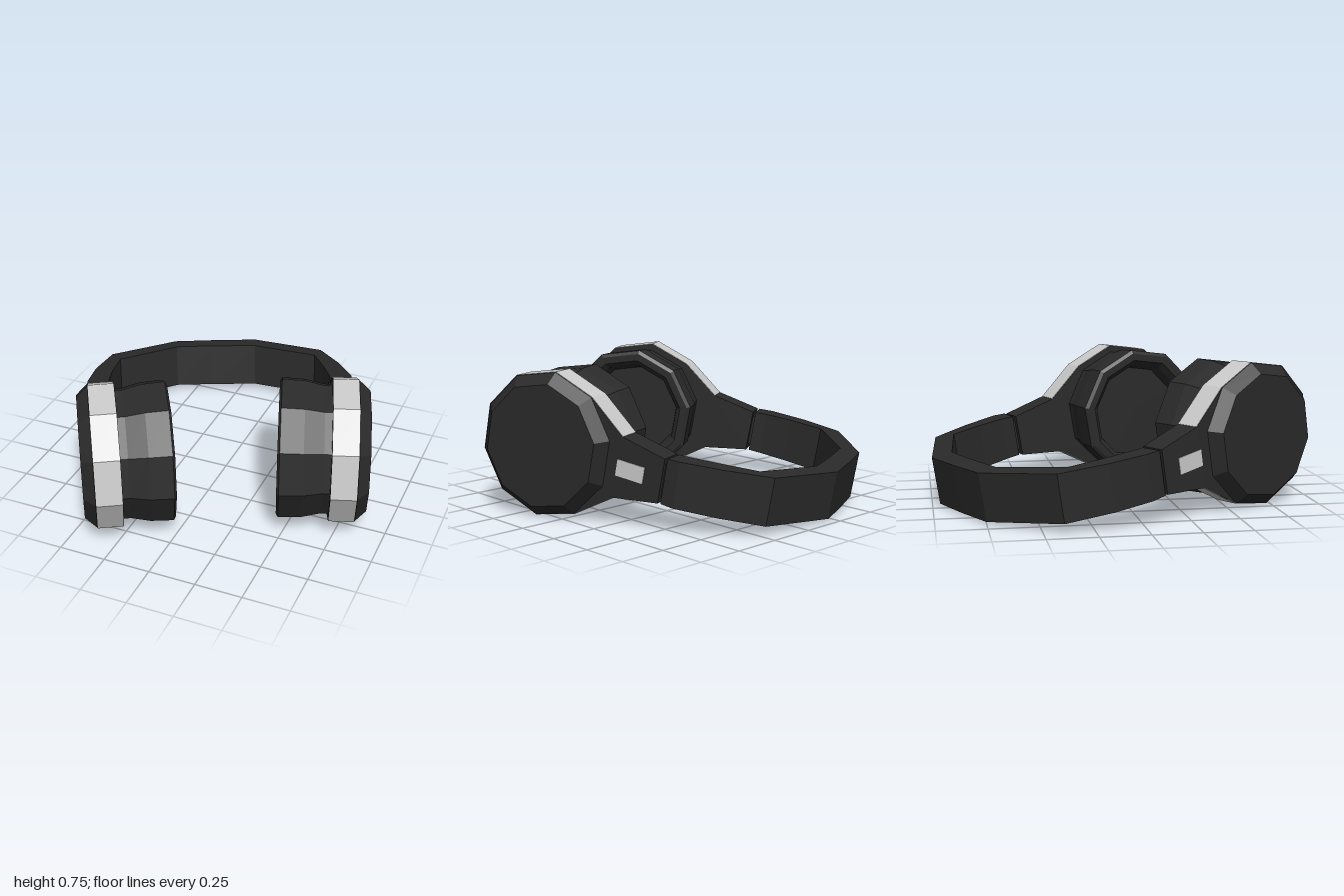
import * as THREE from 'three';

const dark = new THREE.MeshStandardMaterial({ color: 0x2a2a2a, flatShading: true });
const grey = new THREE.MeshStandardMaterial({ color: 0xcccccc, flatShading: true });

function add(parent, name, geometry, material) {
  const mesh = new THREE.Mesh(geometry, material);
  mesh.name = name;
  parent.add(mesh);
  return mesh;
}

// Cup space: x = outward from the ear, z = away from the headband, y = across.
// Extrudes a (z, y) outline from x = from to x = to.
function plate(points, from, to, scale = 1) {
  const shape = new THREE.Shape(points.map(([z, y]) => new THREE.Vector2(-z * scale, y * scale)));
  return new THREE.ExtrudeGeometry(shape, { depth: to - from, bevelEnabled: false })
    .rotateY(Math.PI / 2).translate(from, 0, 0);
}

// Ten-sided turned part from (radius, x) pairs
function turned(profile) {
  const points = profile.map(([r, x]) => new THREE.Vector2(r, x));
  return new THREE.LatheGeometry(points, 10, Math.PI / 10).rotateZ(-Math.PI / 2);
}

// Outline of the shell: a decagon whose headband side widens into a yoke
const half = [[0.366, 0.119], [0.226, 0.308], [0, 0.381], [-0.226, 0.308], [-0.428, 0.16]];
const mirrored = (pts) => [...pts, ...pts.map(([z, y]) => [z, -y]).reverse()];
const ringOutline = mirrored(half);
const shellOutline = mirrored([...half, [-0.675, 0.115]]);

function makeCup(name) {
  const cup = new THREE.Group();
  cup.name = name;
  // Cushion with a recessed floor and a narrow waist next to the shell
  add(cup, 'earCushion', turned([
    [0, 0.1], [0.265, 0.1], [0.285, 0.03], [0.315, 0], [0.355, 0],
    [0.374, 0.012], [0.368, 0.13], [0.345, 0.23], [0.345, 0.29],
  ]), dark);
  add(cup, 'shellAndArm', plate(shellOutline, 0.268, 0.403), dark);
  add(cup, 'trimBand', plate(ringOutline, 0.27, 0.401, 1.006), grey);
  add(cup, 'outerCap', turned([[0.381, 0.402], [0.325, 0.462], [0, 0.462]]), dark);
  add(cup, 'armBadge', new THREE.BoxGeometry(0.012, 0.085, 0.155), grey).position.set(0.401, 0, -0.5);
  add(cup, 'hinge', new THREE.BoxGeometry(0.08, 0.17, 0.06), dark).position.set(0.338, 0, -0.685);
  return cup;
}

// Headband: rectangular section swept along matching outer and inner (x, z) points
function makeHeadband() {
  const outer = [[-0.811, 0.09], [-0.85, 0.02], [-0.9, -0.175], [-0.92, -0.42], [-0.66, -0.77],
    [-0.435, -0.88], [-0.21, -0.98], [0.23, -0.95], [0.4, -0.78], [0.53, -0.61], [0.55, -0.545]];
  const inner = [[-0.705, 0.027], [-0.74, -0.03], [-0.79, -0.17], [-0.835, -0.36], [-0.61, -0.68],
    [-0.41, -0.775], [-0.17, -0.875], [0.225, -0.85], [0.33, -0.7], [0.41, -0.57], [0.434, -0.505]];
  // The band lies in a plane that sinks toward the back
  const slope = 0.17, px = -0.433, pz = -0.9;
  const up = new THREE.Vector3(slope * px, 1, slope * pz).normalize();
  const corner = ([x, z], h) => {
    const y = 0.255 - slope * ((x + 0.75) * px + (z - 0.07) * pz);
    return new THREE.Vector3(x, y, z).addScaledVector(up, h);
  };
  const sections = outer.map((o, i) => {
    const h = 0.115 + 0.011 * Math.sin((Math.PI * i) / (outer.length - 1));
    return [corner(o, h), corner(o, -h), corner(inner[i], -h), corner(inner[i], h)];
  });
  const positions = [];
  const quad = (a, b, c, d) => [a, b, c, a, c, d].forEach((p) => positions.push(p.x, p.y, p.z));
  for (let i = 0; i < sections.length - 1; i++) {
    const s = sections[i], t = sections[i + 1];
    for (let j = 0; j < 4; j++) {
      const k = (j + 1) % 4;
      quad(s[j], t[j], t[k], s[k]);
    }
  }
  quad(...sections[0]);
  quad(...[...sections[sections.length - 1]].reverse());
  const geometry = new THREE.BufferGeometry();
  geometry.setAttribute('position', new THREE.Float32BufferAttribute(positions, 3));
  geometry.computeVertexNormals();
  return geometry;
}

export function createModel() {
  const model = new THREE.Group();
  model.name = 'headphones';
  add(model, 'headband', makeHeadband(), dark);

  // Both cups lean with the band; the right one is turned over to face inward
  const tilt = -0.178;
  const left = makeCup('leftCup');
  left.position.set(0.39, 0.375, 0.23);
  left.rotation.set(tilt, 0.332, 0, 'YXZ');
  const right = makeCup('rightCup');
  right.position.set(-0.12, 0.375, 0.47);
  right.rotation.set(tilt, 0.532, Math.PI, 'YXZ');
  model.add(left, right);
  return model;
}
